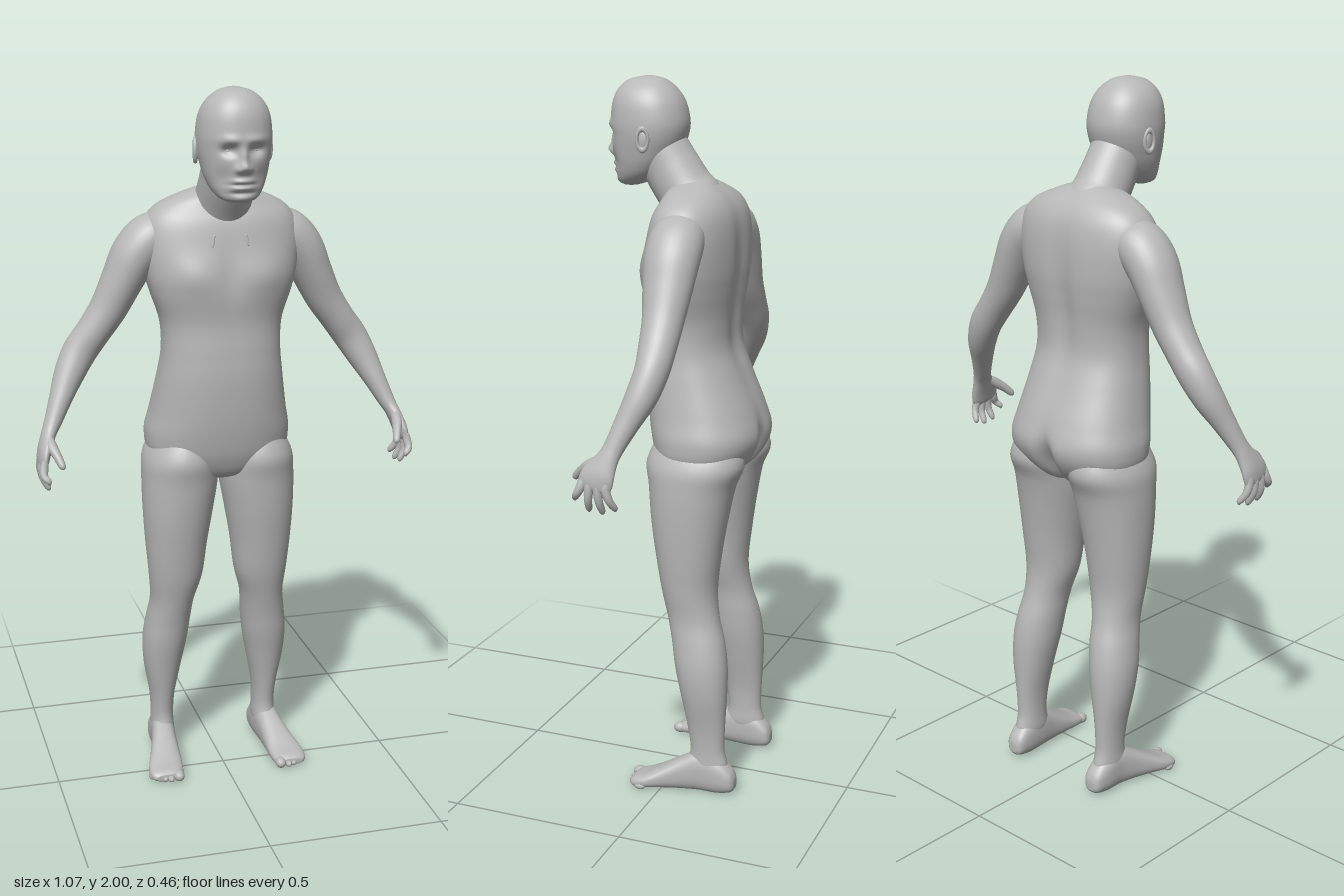
import * as THREE from 'three';

const skin = new THREE.MeshStandardMaterial({ color: 0xb8b8b8 });
skin.name = 'grey skin';

const bell = (d, s) => Math.exp(-(d * d) / (s * s));
const sgnPow = (v, e) => Math.sign(v) * Math.abs(v) ** e;

// Resample a table of stations smoothly (Catmull-Rom on every column)
function smooth(rows, steps) {
  const out = [];
  const at = i => rows[Math.min(rows.length - 1, Math.max(0, i))];
  for (let i = 0; i < rows.length - 1; i++) {
    for (let s = 0; s < steps; s++) {
      const t = s / steps;
      out.push(rows[i].map((b, k) => {
        const a = at(i - 1)[k], c = at(i + 1)[k], d = at(i + 2)[k];
        return 0.5 * (2 * b + (c - a) * t + (2 * a - 5 * b + 4 * c - d) * t * t
          + (3 * b - a - 3 * c + d) * t * t * t);
      }));
    }
  }
  out.push(rows[rows.length - 1]);
  return out;
}

// Skin a list of closed rings, cap both ends and turn the faces outward
function skinRings(rings) {
  const n = rings[0].length, m = rings.length, pts = rings.flat(), idx = [];
  for (let i = 0; i < m - 1; i++) {
    for (let j = 0; j < n; j++) {
      const a = i * n + j, b = i * n + (j + 1) % n;
      idx.push(a, b, a + n, b, b + n, a + n);
    }
  }
  const centre = ring => ring.reduce((s, p) => s.add(p), new THREE.Vector3()).divideScalar(n);
  pts.push(centre(rings[0]), centre(rings[m - 1]));
  for (let j = 0; j < n; j++) {
    const k = (j + 1) % n, e = (m - 1) * n;
    idx.push(m * n, k, j, m * n + 1, e + j, e + k);
  }
  let volume = 0;
  const cross = new THREE.Vector3();
  for (let i = 0; i < idx.length; i += 3) {
    volume += pts[idx[i]].dot(cross.crossVectors(pts[idx[i + 1]], pts[idx[i + 2]]));
  }
  if (volume < 0) idx.reverse();
  const g = new THREE.BufferGeometry().setFromPoints(pts);
  g.setIndex(idx);
  g.computeVertexNormals();
  return g;
}

// Rings across an axis: rows are [along, x0, x1, low, high]
function loft(rows, { axis = 'y', side = 1, n = 2.3, cols = 40, steps = 5, warp } = {}) {
  return skinRings(smooth(rows, steps).map(([h, x0, x1, lo, hi]) =>
    Array.from({ length: cols }, (_, j) => {
      const t = j / cols * Math.PI * 2;
      const x = (x0 + x1) / 2 + (x1 - x0) / 2 * sgnPow(Math.cos(t), 2 / n);
      const d = (lo + hi) / 2 + (hi - lo) / 2 * sgnPow(Math.sin(t), 2 / n);
      const p = axis === 'y' ? new THREE.Vector3(x, h, d) : new THREE.Vector3(x, d, h);
      if (warp) warp(p);
      p.x *= side;
      return p;
    })));
}

// Rings square to a bent path: rows are [x, y, z, width radius, depth radius]
function limb(rows, side = 1, cols = 24, steps = 5) {
  const st = smooth(rows, steps), Z = new THREE.Vector3(0, 0, 1);
  const c = st.map(r => new THREE.Vector3(r[0], r[1], r[2]));
  return skinRings(st.map((r, i) => {
    const t = c[Math.min(i + 1, c.length - 1)].clone().sub(c[Math.max(i - 1, 0)]).normalize();
    const u = t.clone().cross(Z).normalize(), w = u.clone().cross(t);
    return Array.from({ length: cols }, (_, j) => {
      const a = j / cols * Math.PI * 2;
      const p = c[i].clone().addScaledVector(u, r[3] * Math.cos(a)).addScaledVector(w, r[4] * Math.sin(a));
      p.x *= side;
      return p;
    });
  }));
}

const sym = rows => rows.map(([y, hw, zb, zf]) => [y, -hw, hw, zb, zf]);

// Chest muscles, spine furrow and seat cleft
function shapeTorso(p) {
  const ax = Math.abs(p.x);
  if (p.z < -0.05) {
    p.z += 0.045 * bell(p.x, 0.022) * bell(p.y - 0.98, 0.07);
    p.z += 0.014 * bell(p.x, 0.035) * bell(p.y - 1.42, 0.2);
  } else {
    p.z += 0.01 * bell(ax - 0.1, 0.06) * bell(p.y - 1.5, 0.05);
    p.z -= 0.006 * bell(p.x, 0.025) * bell(p.y - 1.5, 0.08);
  }
}

// Brow, eye sockets, nose, lips and chin
function shapeFace(p) {
  if (p.z < 0.13) return;
  const ax = Math.abs(p.x), y = p.y;
  p.z += 0.006 * bell(ax - 0.032, 0.03) * bell(y - 1.872, 0.012);
  p.z -= 0.016 * bell(ax - 0.036, 0.02) * bell(y - 1.845, 0.014);
  p.z -= 0.006 * bell(ax - 0.05, 0.022) * bell(y - 1.775, 0.025);
  p.z += 0.012 * bell(ax, 0.011) * bell(y - 1.83, 0.025);
  p.z += 0.02 * bell(ax, 0.014) * bell(y - 1.802, 0.014);
  p.z += 0.008 * bell(ax - 0.015, 0.009) * bell(y - 1.796, 0.009);
  p.z += 0.009 * bell(ax, 0.026) * (bell(y - 1.766, 0.007) + bell(y - 1.748, 0.008));
  p.z -= 0.005 * bell(ax, 0.03) * (bell(y - 1.757, 0.004) + bell(y - 1.735, 0.006));
  p.z += 0.004 * bell(ax, 0.02) * bell(y - 1.72, 0.01);
}

const TORSO = sym([
  [1.73, 0.05, -0.07, 0], [1.71, 0.11, -0.10, 0.03], [1.68, 0.175, -0.13, 0.045],
  [1.64, 0.21, -0.15, 0.065], [1.58, 0.222, -0.16, 0.08], [1.5, 0.214, -0.162, 0.095],
  [1.44, 0.198, -0.157, 0.098], [1.36, 0.172, -0.148, 0.09], [1.28, 0.168, -0.149, 0.093],
  [1.2, 0.178, -0.176, 0.094], [1.1, 0.195, -0.216, 0.086], [1.03, 0.208, -0.233, 0.075],
  [0.97, 0.195, -0.21, 0.06], [0.92, 0.13, -0.16, 0.035], [0.9, 0.05, -0.1, 0]]);

const NECK = [
  [0, 1.6, -0.06, 0.09, 0.06], [0, 1.66, -0.025, 0.09, 0.085], [0, 1.7, 0.005, 0.079, 0.08],
  [0, 1.76, 0.045, 0.074, 0.078], [0, 1.83, 0.085, 0.07, 0.07], [0, 1.87, 0.1, 0.04, 0.04]];

const HEAD = sym([
  [2, 0.012, 0.09, 0.125], [1.99, 0.045, 0.06, 0.165], [1.965, 0.075, 0.03, 0.193],
  [1.93, 0.093, 0.008, 0.208], [1.88, 0.1, -0.003, 0.213], [1.84, 0.098, 0.003, 0.21],
  [1.8, 0.09, 0.02, 0.208], [1.77, 0.082, 0.04, 0.205], [1.74, 0.069, 0.07, 0.2],
  [1.718, 0.05, 0.11, 0.195], [1.708, 0.025, 0.14, 0.18]]);

const LEG = [
  [1.05, 0.04, 0.17, -0.18, 0.03], [0.97, 0.008, 0.214, -0.21, 0.067], [0.9, 0.004, 0.222, -0.185, 0.06],
  [0.8, 0.02, 0.221, -0.165, 0.05], [0.7, 0.037, 0.215, -0.15, 0.035], [0.6, 0.05, 0.206, -0.14, 0.018],
  [0.52, 0.072, 0.2, -0.15, -0.002], [0.45, 0.08, 0.21, -0.17, -0.018], [0.38, 0.088, 0.218, -0.181, -0.03],
  [0.3, 0.103, 0.214, -0.183, -0.048], [0.2, 0.122, 0.197, -0.179, -0.068], [0.13, 0.126, 0.192, -0.178, -0.078],
  [0.08, 0.125, 0.193, -0.188, -0.07], [0.05, 0.135, 0.185, -0.17, -0.09]];

const FOOT = [
  [-0.212, 0.145, 0.172, 0.02, 0.05], [-0.2, 0.13, 0.187, 0.008, 0.075], [-0.16, 0.125, 0.195, 0, 0.11],
  [-0.11, 0.126, 0.197, 0, 0.122], [-0.06, 0.13, 0.207, 0, 0.1], [-0.01, 0.132, 0.222, 0, 0.072],
  [0.04, 0.135, 0.237, 0, 0.046], [0.075, 0.142, 0.235, 0, 0.034], [0.088, 0.155, 0.222, 0.006, 0.024]];

const ARM = [
  [0.14, 1.61, -0.05, 0.05, 0.06], [0.19, 1.592, -0.05, 0.066, 0.074], [0.235, 1.545, -0.052, 0.066, 0.075],
  [0.272, 1.475, -0.055, 0.058, 0.067], [0.31, 1.4, -0.058, 0.052, 0.056], [0.354, 1.335, -0.06, 0.048, 0.05],
  [0.394, 1.28, -0.06, 0.048, 0.045], [0.428, 1.22, -0.045, 0.042, 0.042], [0.457, 1.16, -0.02, 0.032, 0.034],
  [0.485, 1.1, 0.005, 0.024, 0.028], [0.5, 1.07, 0.018, 0.02, 0.031], [0.515, 1.03, 0.037, 0.018, 0.046],
  [0.521, 1, 0.047, 0.014, 0.046], [0.522, 0.988, 0.05, 0.007, 0.03]];

// Knuckle z, tip x, tip y, tip z
const FINGERS = [[0.084, 0.515, 0.957, 0.104], [0.06, 0.512, 0.93, 0.066], [0.036, 0.51, 0.926, 0.03], [0.014, 0.508, 0.937, -0.004]];

export function createModel() {
  const body = new THREE.Group();
  body.name = 'standing figure';
  const add = (geometry, name, parent = body) => {
    const mesh = new THREE.Mesh(geometry, skin);
    mesh.name = name;
    parent.add(mesh);
    return mesh;
  };
  const ball = (name, parent, pos, scale, seg = 16) => {
    const g = new THREE.SphereGeometry(1, seg, seg).scale(...scale).translate(...pos);
    return add(g, name, parent);
  };

  add(loft(TORSO, { n: 2.35, cols: 80, steps: 7, warp: shapeTorso }), 'torso');
  add(limb(NECK, 1, 40), 'neck');
  const head = new THREE.Group();
  head.name = 'head';
  body.add(head);
  add(loft(HEAD, { n: 2.15, cols: 120, steps: 9, warp: shapeFace }), 'skull and face', head);

  for (const side of [1, -1]) {
    const tag = side > 0 ? 'left' : 'right';
    // Eyes and ears
    ball(tag + ' eye', head, [side * 0.036, 1.845, 0.177], [0.014, 0.009, 0.013]);
    const ear = add(new THREE.TorusGeometry(0.02, 0.006, 8, 20).scale(0.75, 1.4, 1), tag + ' ear rim', head);
    ear.rotation.y = side * (Math.PI / 2 + 0.3);
    ear.position.set(side * 0.099, 1.838, 0.088);
    ball(tag + ' ear bowl', head, [side * 0.096, 1.836, 0.09], [0.006, 0.025, 0.014]);

    // Small tendon ridge above the chest
    const ridge = add(new THREE.CapsuleGeometry(0.004, 0.026, 4, 8), tag + ' collar ridge');
    ridge.position.set(side * 0.047, 1.592, 0.075);
    ridge.rotation.set(-0.2, 0, -side * -0.2);

    // Leg, foot and toes
    add(loft(LEG, { side, n: 2.1 }), tag + ' leg');
    add(loft(FOOT, { axis: 'z', side, n: 2.5 }), tag + ' foot');
    for (let i = 0; i < 5; i++) {
      const r = i ? 0.0105 : 0.016;
      ball(tag + ' toe', body, [side * (i ? 0.164 + i * 0.0165 : 0.156), r, 0.083 - 0.0018 * i * i],
        [r, r, 0.021 - 0.001 * i], 12);
    }

    // Arm with palm, fingers and thumb
    add(limb(ARM, side, 32), tag + ' arm');
    for (const [z, x, y, tz] of FINGERS) {
      add(limb([
        [0.52, 1.015, z - 0.004, 0.01, 0.011], [0.524, 0.995, z, 0.012, 0.0125],
        [(0.528 + x) / 2 + 0.004, (0.995 + y) / 2, (z + tz) / 2, 0.0105, 0.0105],
        [x, y + 0.006, tz, 0.0085, 0.0085], [x - 0.001, y - 0.003, tz, 0.003, 0.003]], side, 12), tag + ' finger');
    }
    add(limb([
      [0.502, 1.07, 0.03, 0.012, 0.014], [0.498, 1.05, 0.065, 0.015, 0.016], [0.488, 1.03, 0.095, 0.012, 0.013],
      [0.479, 1.008, 0.118, 0.0095, 0.01], [0.477, 1.001, 0.124, 0.003, 0.003]], side, 12), tag + ' thumb');
  }
  return body;
}
